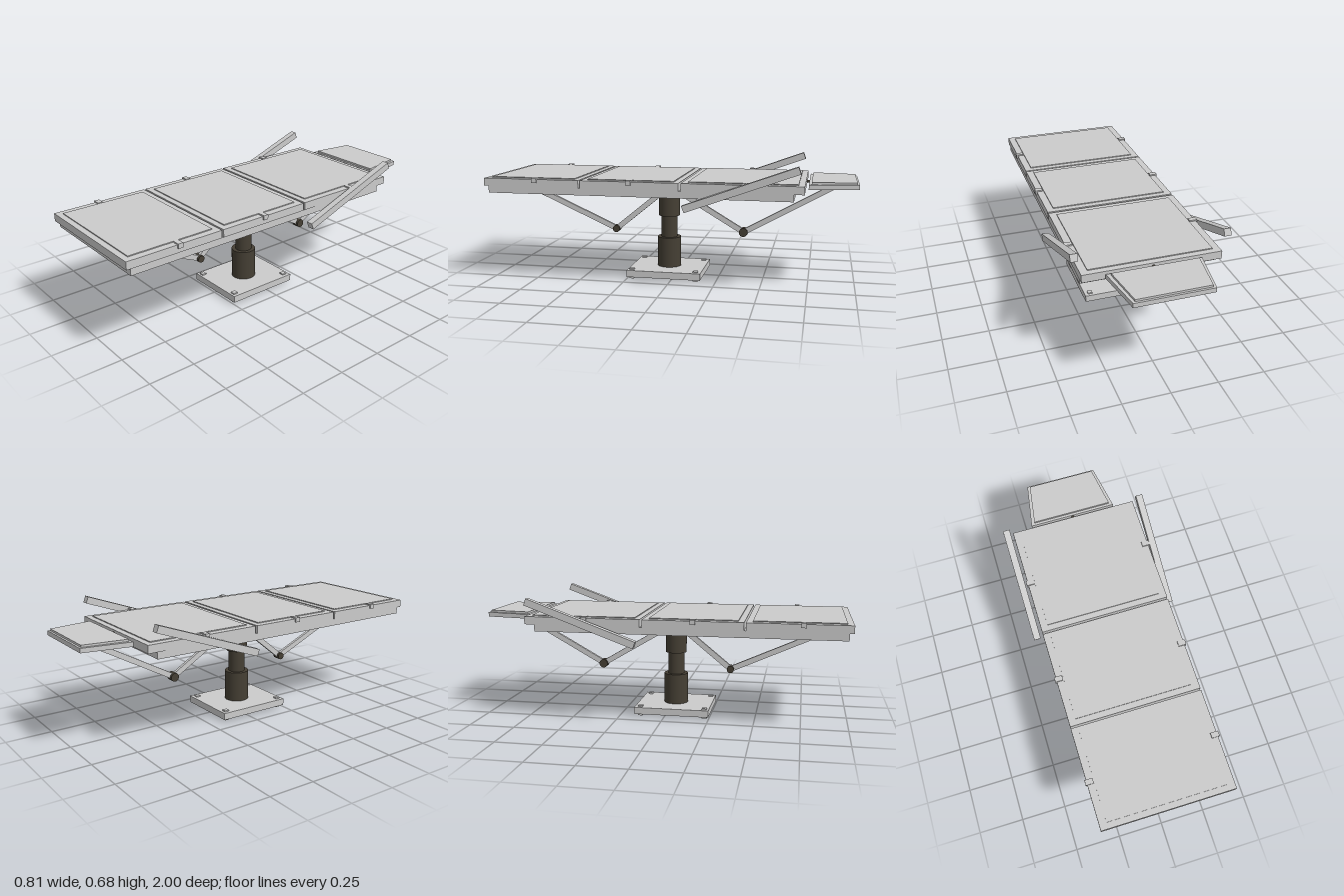
import * as THREE from 'three';

const CX = 0.004; // centre line of the table
const COL_Z = 0.04; // centre of the column and base

export function createModel() {
  const model = new THREE.Group();
  model.name = 'adjustableTable';
  const grey = new THREE.MeshStandardMaterial({ color: 0xcccccc });
  const dark = new THREE.MeshStandardMaterial({ color: 0x453f34 });

  function add(name, geometry, material = grey) {
    const mesh = new THREE.Mesh(geometry, material);
    mesh.name = name;
    model.add(mesh);
    return mesh;
  }
  // Box given by its limits on each axis
  function box(name, x0, x1, y0, y1, z0, z1) {
    const mesh = add(name, new THREE.BoxGeometry(x1 - x0, y1 - y0, z1 - z0));
    mesh.position.set((x0 + x1) / 2, (y0 + y1) / 2, (z0 + z1) / 2);
    return mesh;
  }
  // Flat bar between two [z, y] points
  function bar(name, x, a, b, width, thickness) {
    const dz = b[0] - a[0], dy = b[1] - a[1];
    const mesh = add(name, new THREE.BoxGeometry(width, thickness, Math.hypot(dz, dy)));
    mesh.position.set(x, (a[1] + b[1]) / 2, (a[0] + b[0]) / 2);
    mesh.rotation.x = -Math.atan2(dy, dz);
    return mesh;
  }

  // Base plate with bolts through its corners
  box('basePlate', CX - 0.178, CX + 0.178, 0.012, 0.05, -0.168, 0.249);
  for (const x of [-0.146, 0.146]) {
    for (const z of [-0.138, 0.224]) {
      box('baseBolt', CX + x - 0.013, CX + x + 0.013, 0, 0.057, z - 0.013, z + 0.013);
    }
  }

  // Telescopic column: radius, bottom, top
  const stages = [[0.067, 0.05, 0.22], [0.046, 0.22, 0.342], [0.059, 0.342, 0.495]];
  for (const [r, y0, y1] of stages) {
    const stage = add('columnStage', new THREE.CylinderGeometry(r, r, y1 - y0, 48), dark);
    stage.position.set(CX, (y0 + y1) / 2, COL_Z);
  }

  // Bed frame and three padded panels
  box('bedFrame', CX - 0.351, CX + 0.351, 0.495, 0.533, -0.674, 0.975);
  const panels = [
    ['legPanel', 0.461, 0.998],
    ['seatPanel', -0.083, 0.451],
    ['backPanel', -0.727, -0.095],
  ];
  for (const [name, z0, z1] of panels) {
    box(name, CX - 0.356, CX + 0.356, 0.533, 0.575, z0, z1);
    box(name + 'Pad', CX - 0.318, CX + 0.318, 0.575, 0.58, z0 + 0.032, z1 - 0.032);
  }

  // Small clips along both edges
  const clips = { '-1': [-0.397, 0.185, 0.75], '1': [-0.442, 0.185, 0.708] };
  for (const side of [-1, 1]) {
    for (const z of clips[side]) {
      const x = CX + side * 0.343;
      box('edgeClip', x - 0.021, x + 0.021, 0.557, 0.582, z - 0.014, z + 0.014);
    }
  }

  // Tapered head rest with its pad and connecting rod
  function headSlab(name, nearHalf, farHalf, zNear, zFar, y0, y1) {
    const shape = new THREE.Shape([
      new THREE.Vector2(-nearHalf, -zNear), new THREE.Vector2(nearHalf, -zNear),
      new THREE.Vector2(farHalf, -zFar), new THREE.Vector2(-farHalf, -zFar),
    ]);
    const g = new THREE.ExtrudeGeometry(shape, { depth: y1 - y0, bevelEnabled: false });
    g.rotateX(-Math.PI / 2);
    add(name, g).position.set(CX, y0, 0);
  }
  headSlab('headRest', 0.243, 0.2, -0.743, -1, 0.545, 0.569);
  headSlab('headRestPad', 0.222, 0.187, -0.757, -0.989, 0.569, 0.58);
  const rod = add('headRod', new THREE.CylinderGeometry(0.008, 0.008, 0.06, 16), dark);
  rod.rotation.x = Math.PI / 2;
  rod.position.set(CX, 0.557, -0.74);

  // Sloping arm rests
  for (const side of [-1, 1]) {
    bar('armRest', side * 0.386, [-0.113, 0.446], [-0.702, 0.66], 0.037, 0.038);
  }

  // Hinged linkages below the bed: column end, pivot, far end, pivot radius
  const linkages = [
    [[0.07, 0.483], [0.352, 0.253], [0.91, 0.502], 0.02],
    [[-0.01, 0.483], [-0.386, 0.26], [-0.9, 0.546], 0.024],
  ];
  for (const [inner, pivot, outer, r] of linkages) {
    bar('innerLink', CX, inner, pivot, 0.018, 0.03);
    bar('outerLink', CX, pivot, outer, 0.018, 0.03);
    const pin = add('linkPivot', new THREE.CylinderGeometry(r, r, 0.045, 24), dark);
    pin.rotation.z = Math.PI / 2;
    pin.position.set(CX, pivot[1], pivot[0]);
  }

  return model;
}
